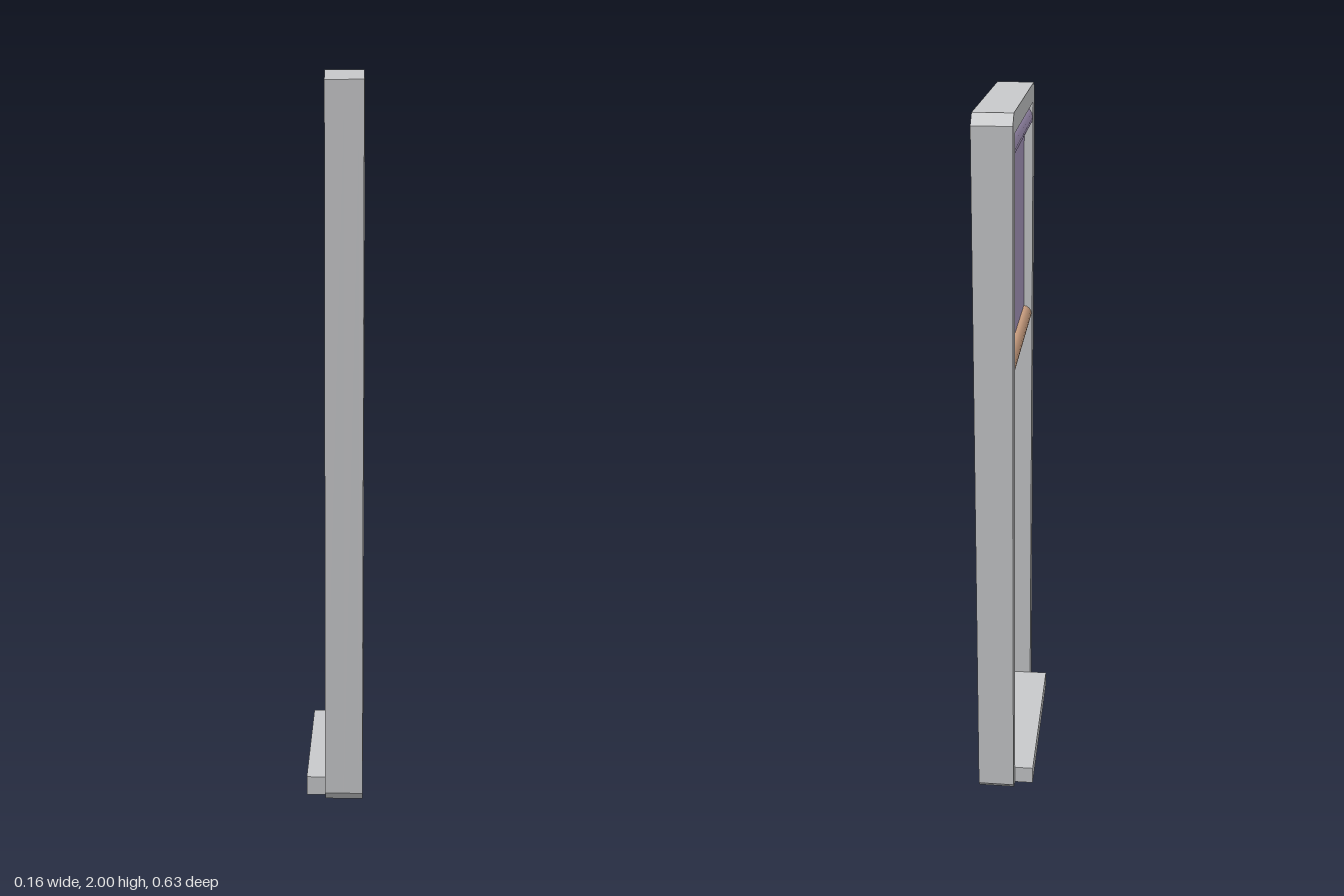
import * as THREE from 'three';

const gray = new THREE.MeshStandardMaterial({ color: 0xc8c9cb });
gray.name = 'frameGray';
const purple = new THREE.MeshStandardMaterial({ color: 0xac9cc2, side: THREE.DoubleSide });
purple.name = 'blindPurple';
const tan = new THREE.MeshStandardMaterial({ color: 0xd0a384 });
tan.name = 'railTan';

const HALF = 0.315, HEIGHT = 2, CUT = 0.028;

// Upright slab with clipped corners from x0 to x1; border > 0 cuts a rectangular opening
function slab(name, x0, x1, border) {
  const h = HALF, t = HEIGHT, c = CUT;
  const shape = new THREE.Shape([
    [-h + c, 0], [h - c, 0], [h, c], [h, t - c],
    [h - c, t], [-h + c, t], [-h, t - c], [-h, c],
  ].map(([a, b]) => new THREE.Vector2(a, b)));
  if (border > 0) {
    const w = h - border, top = t - border;
    shape.holes.push(new THREE.Path([
      [-w, border], [-w, top], [w, top], [w, border],
    ].map(([a, b]) => new THREE.Vector2(a, b))));
  }
  const geometry = new THREE.ExtrudeGeometry(shape, { depth: x1 - x0, bevelEnabled: false });
  geometry.rotateY(Math.PI / 2);
  geometry.translate(x0, 0, 0);
  const mesh = new THREE.Mesh(geometry, gray);
  mesh.name = name;
  return mesh;
}

// Horizontal rod running along z
function rod(name, radius, length, x, y, material) {
  const geometry = new THREE.CylinderGeometry(radius, radius, length, 16);
  geometry.rotateX(Math.PI / 2);
  const mesh = new THREE.Mesh(geometry, material);
  mesh.position.set(x, y, 0);
  mesh.name = name;
  return mesh;
}

function box(name, x0, x1, y0, y1, width, material) {
  const mesh = new THREE.Mesh(new THREE.BoxGeometry(x1 - x0, y1 - y0, width), material);
  mesh.position.set((x0 + x1) / 2, (y0 + y1) / 2, 0);
  mesh.name = name;
  return mesh;
}

export function createModel() {
  const model = new THREE.Group();
  model.name = 'windowWithBlind';

  // Stepped window frame closed by a back panel
  model.add(slab('outerFrame', -0.026, 0.026, 0.052));
  model.add(slab('innerFrame', 0.026, 0.066, 0.105));
  model.add(slab('backPanel', 0.066, 0.078, 0));

  // Sill projecting from the bottom of the frame
  model.add(box('sill', -0.08, -0.026, 0, 0.053, 0.526, gray));

  // Roller blind, pulled about a third of the way down
  const blind = new THREE.Group();
  blind.name = 'blind';
  blind.add(rod('blindRoll', 0.035, 0.526, 0.01, 1.905, purple));
  blind.add(box('blindCloth', -0.001, 0.005, 1.325, 1.9, 0.526, purple));
  blind.add(rod('blindRail', 0.024, 0.526, 0, 1.325, tan));
  model.add(blind);

  return model;
}
